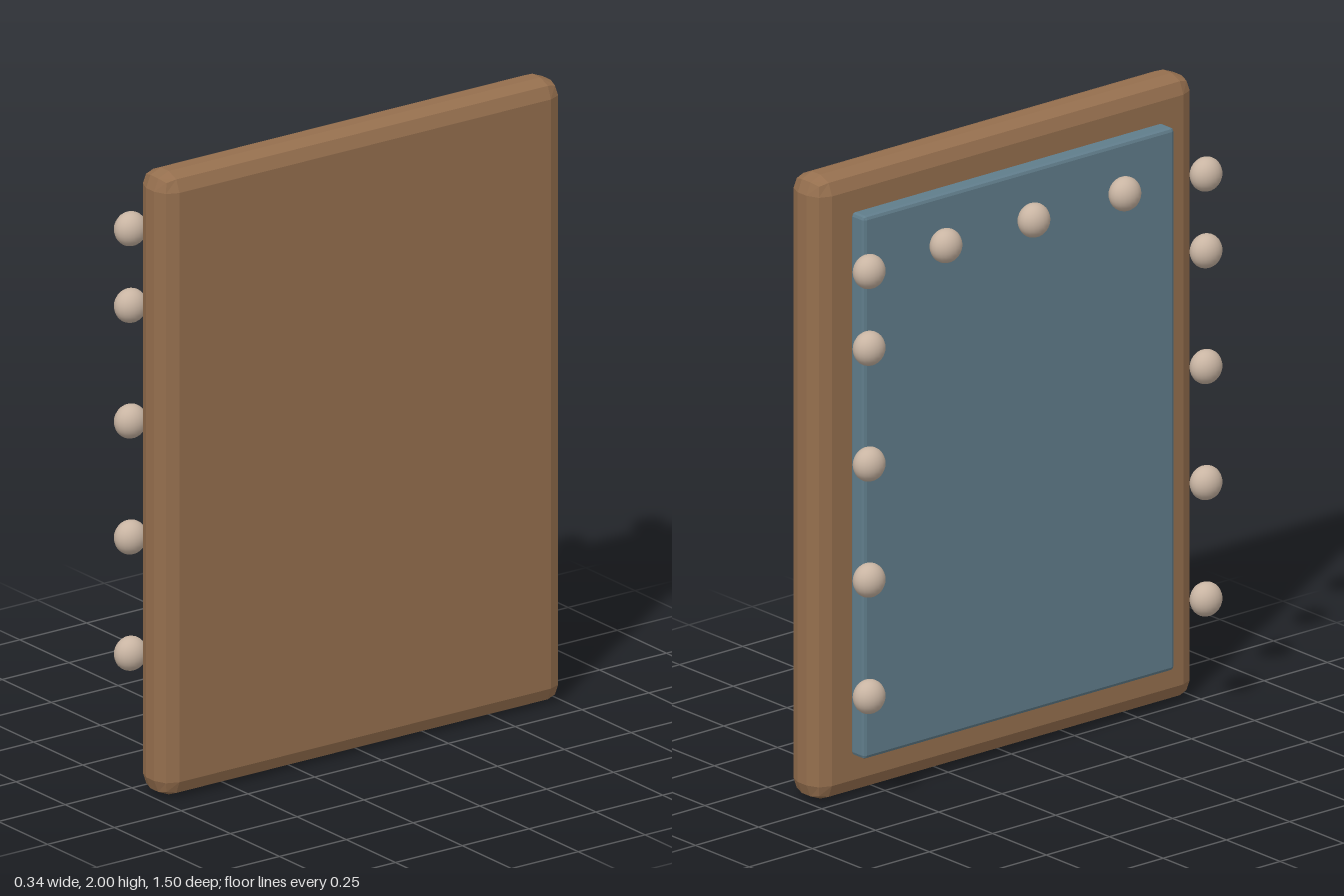
import * as THREE from 'three';
import { RoundedBoxGeometry } from 'three/addons/geometries/RoundedBoxGeometry.js';

const material = (name, color, flatShading = false) => {
  const m = new THREE.MeshStandardMaterial({ color, flatShading });
  m.name = name;
  return m;
};

export function createModel() {
  const group = new THREE.Group();
  const wood = material('brown wood', 0x956f4e, true);
  const slate = material('slate blue', 0x607d8b, true);
  const beige = material('beige', 0xc9b5a3);

  const add = (name, geometry, mat, x, y, z) => {
    const mesh = new THREE.Mesh(geometry, mat);
    mesh.name = name;
    mesh.position.set(x, y, z);
    group.add(mesh);
    return mesh;
  };

  // Upright board with two-facet bevels
  add('board', new RoundedBoxGeometry(0.15, 2, 1.5, 1, 0.055), wood, 0.092, 1, 0);

  // Raised panel on the board's right side
  add('panel', new RoundedBoxGeometry(0.065, 1.74, 1.23, 1, 0.012), slate, -0.0075, 1.005, -0.002);

  // Floating beads: a column along each side and a row across the top
  const bead = new THREE.SphereGeometry(1, 20, 14);
  const addBead = (y, z) => add('bead', bead, beige, -0.126, y, z).scale.set(0.045, 0.054, 0.053);
  for (const z of [-0.67, 0.663]) {
    for (const y of [0.376, 0.749, 1.121, 1.492, 1.738]) addBead(y, z);
  }
  for (const z of [-0.366, -0.018, 0.342]) addBead(1.75, z);

  return group;
}
